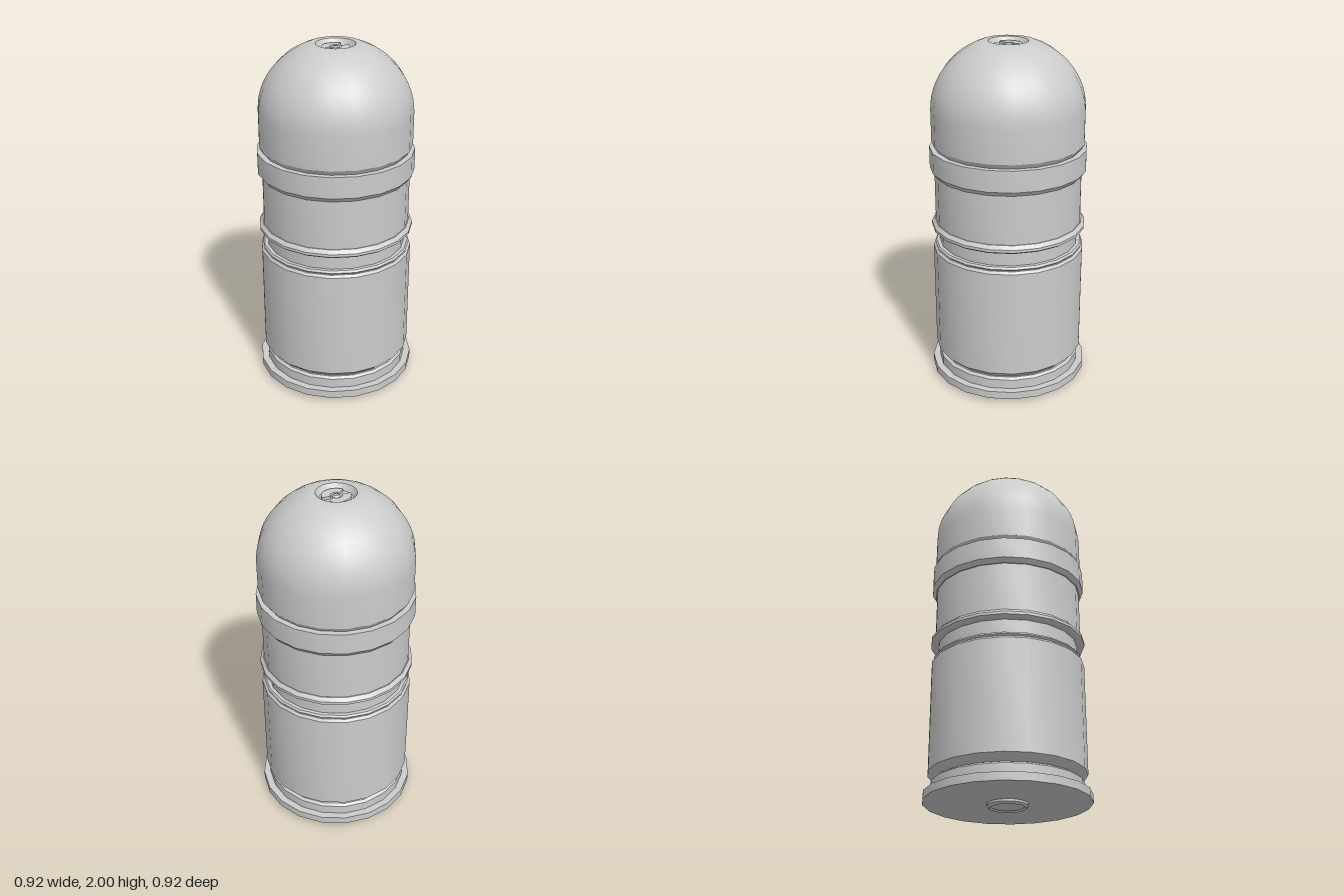
import * as THREE from 'three';
import { toCreasedNormals } from 'three/addons/utils/BufferGeometryUtils.js';

const SIDES = 20;
const material = new THREE.MeshStandardMaterial({ color: 0xcccccc });

// Revolve a [radius, height] profile, listed from bottom to top
function turned(name, profile, crease = 0.45) {
  const points = profile.map(([r, y]) => new THREE.Vector2(r, y));
  const geometry = toCreasedNormals(new THREE.LatheGeometry(points, SIDES), crease);
  const mesh = new THREE.Mesh(geometry, material);
  mesh.name = name;
  return mesh;
}

// Flat arc segment between two radii, standing on height y
function arcPlate(name, inner, outer, start, end, y, height) {
  const shape = new THREE.Shape();
  shape.absarc(0, 0, outer, start, end, false);
  shape.absarc(0, 0, inner, end, start, true);
  const geometry = new THREE.ExtrudeGeometry(shape, { depth: height, bevelEnabled: false, curveSegments: 8 });
  geometry.rotateX(-Math.PI / 2);
  const mesh = new THREE.Mesh(toCreasedNormals(geometry, 0.45), material);
  mesh.position.y = y;
  mesh.name = name;
  return mesh;
}

export function createModel() {
  const group = new THREE.Group();

  // Base: primer cap, rim flange and extraction groove
  group.add(turned('primer', [[0, 0.01], [0.09, 0.01], [0.1, 0], [0.113, 0.012], [0.113, 0.03]]));
  group.add(turned('rim', [
    [0, 0.024], [0.46, 0.024], [0.46, 0.069], [0.42, 0.069],
    [0.42, 0.125], [0.405, 0.137], [0.38, 0.137],
  ]));

  // Cartridge case with chamfered ends
  group.add(turned('case', [
    [0.38, 0.13], [0.395, 0.137], [0.437, 0.178], [0.437, 0.808], [0.425, 0.822], [0.4, 0.822],
  ]));
  group.add(turned('caseMouthRing', [
    [0.4, 0.822], [0.42, 0.824], [0.428, 0.834], [0.42, 0.846], [0.4, 0.846],
  ]));

  // Projectile body
  group.add(turned('neck', [[0.4, 0.82], [0.4, 0.95]]));
  group.add(turned('drivingRing', [
    [0.4, 0.93], [0.43, 0.932], [0.443, 0.942], [0.443, 0.958], [0.425, 0.978], [0.4, 0.978],
  ]));
  group.add(turned('projectileBody', [[0.42, 0.97], [0.42, 1.29]]));
  group.add(turned('upperBand', [
    [0.415, 1.264], [0.425, 1.264], [0.445, 1.29], [0.445, 1.412], [0.4, 1.412],
  ]));

  // Rounded nose, flat at the tip with a sunken fuze well
  const nose = [[0.4, 1.412], [0.413, 1.412], [0.432, 1.44], [0.432, 1.62]];
  const steps = 12;
  const last = Math.acos(0.147 / 0.432);
  const rise = 0.38 / Math.sin(last);
  for (let i = 1; i <= steps; i++) {
    const a = (last * i) / steps;
    nose.push([0.432 * Math.cos(a), 1.62 + rise * Math.sin(a)]);
  }
  nose.push([0.11, 2], [0.09, 1.968], [0, 1.968]);
  group.add(turned('nose', nose));

  // Fuze key: two raised halves leaving a bow-tie slot, plus a centre pin
  const gap = 0.35;
  for (const turn of [0, Math.PI]) {
    group.add(arcPlate('fuzeKey', 0.032, 0.078, turn + gap, turn + Math.PI - gap, 1.966, 0.018));
  }
  group.add(turned('fuzePin', [[0.022, 1.966], [0.022, 1.978], [0.012, 1.988], [0, 1.988]]));

  return group;
}
